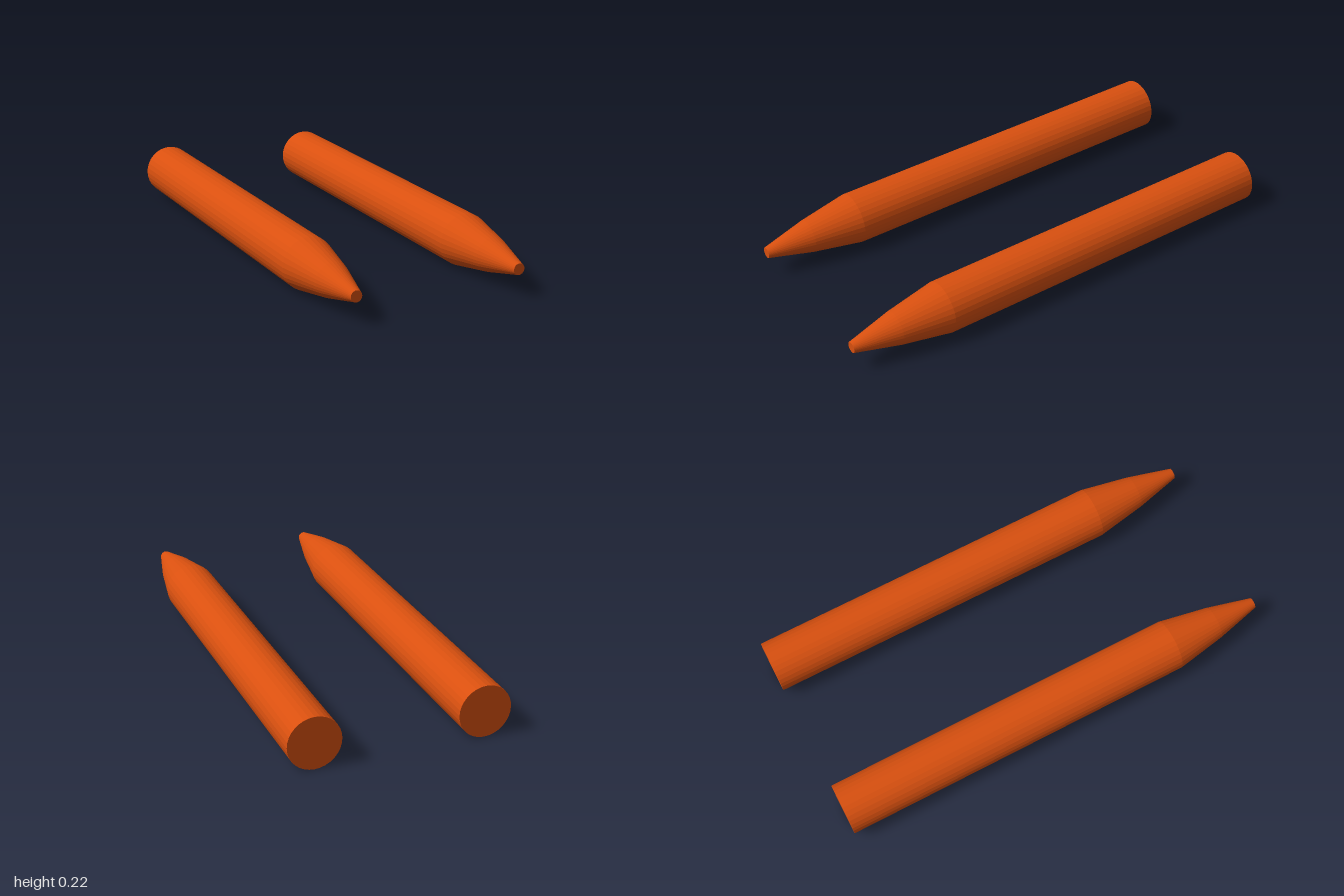
import * as THREE from 'three';

const RADIUS = 0.112;
const SPACING = 0.357; // distance of each axis from the centre

export function createModel() {
  const group = new THREE.Group();
  group.name = 'taperedRods';
  const material = new THREE.MeshStandardMaterial({ color: 0xd9500f, flatShading: true });

  // Closed profile from the flat back end to the blunt tip
  const profile = [
    [0, -1], [RADIUS, -1], [RADIUS, 0.58], [0.073, 0.8], [0.024, 1], [0, 1],
  ].map(([r, z]) => new THREE.Vector2(r, z));

  const geometry = new THREE.LatheGeometry(profile, 32);
  geometry.rotateX(Math.PI / 2); // lay the axis along +z

  // Matching pair, one on each side
  for (const [name, side] of [['leftRod', 1], ['rightRod', -1]]) {
    const rod = new THREE.Mesh(geometry, material);
    rod.name = name;
    rod.position.set(side * SPACING, RADIUS, 0);
    group.add(rod);
  }
  return group;
}
